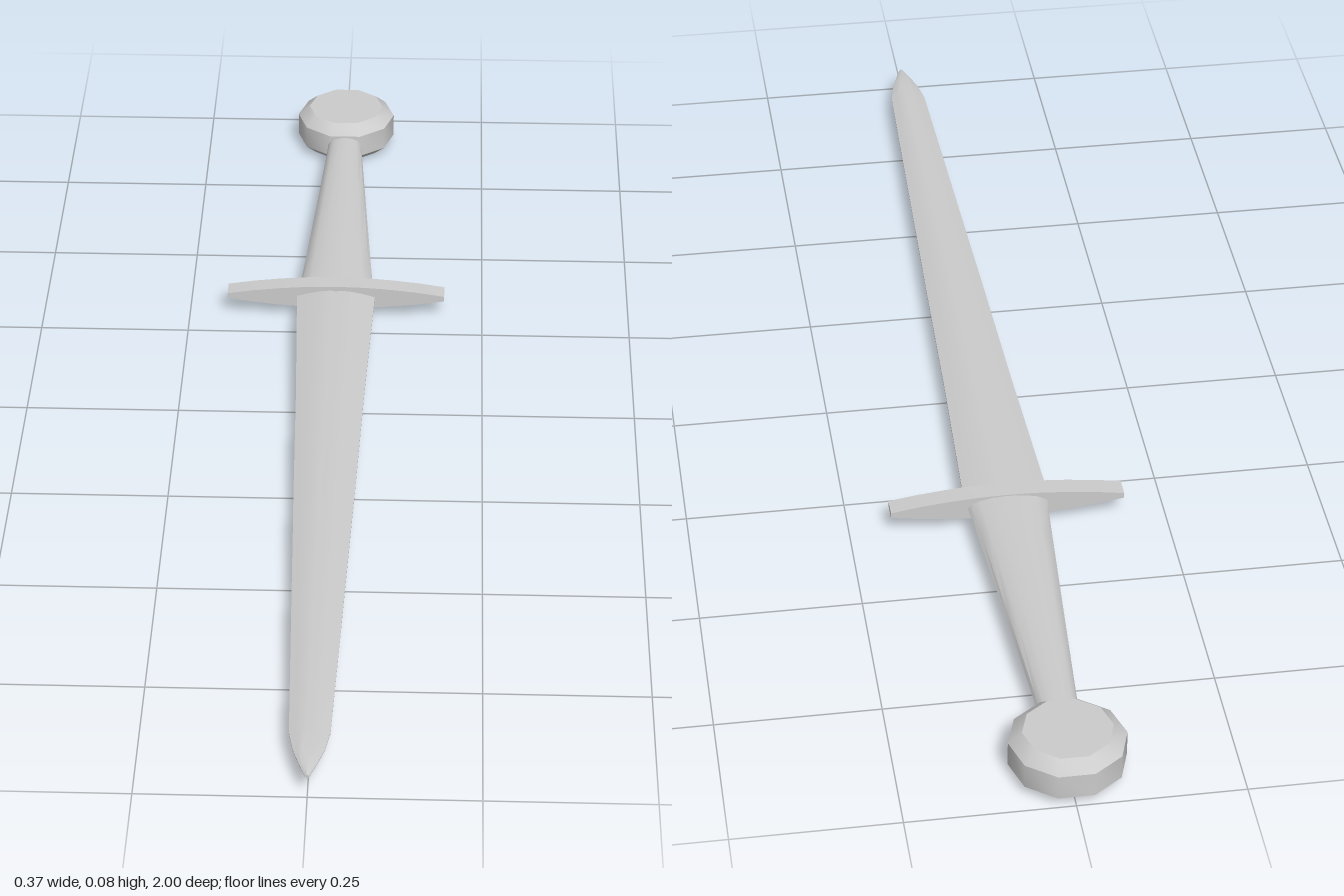
import * as THREE from 'three';
import { toCreasedNormals } from 'three/addons/utils/BufferGeometryUtils.js';

const MID = 0.0375; // height of the flat sword's middle plane

// Skins a closed outline, outline(station) -> [[x, y], ...], along z; both ends are capped
function loft(stations, outline) {
  const pos = [], idx = [];
  const n = outline(stations[0]).length;
  for (const s of stations) for (const [x, y] of outline(s)) pos.push(x, y, s[0]);
  for (let i = 0; i < stations.length - 1; i++) {
    for (let j = 0; j < n; j++) {
      const a = i * n + j, b = i * n + (j + 1) % n;
      idx.push(a, b, b + n, a, b + n, a + n);
    }
  }
  const last = stations.length - 1;
  const c0 = pos.length / 3;
  pos.push(0, 0, stations[0][0], 0, 0, stations[last][0]);
  for (let j = 0; j < n; j++) {
    const k = (j + 1) % n;
    idx.push(c0, k, j, c0 + 1, last * n + j, last * n + k);
  }
  const g = new THREE.BufferGeometry();
  g.setAttribute('position', new THREE.Float32BufferAttribute(pos, 3));
  g.setIndex(idx);
  return toCreasedNormals(g, 0.6);
}

export function createModel() {
  const group = new THREE.Group();
  const material = new THREE.MeshStandardMaterial({ color: 0xcccccc });
  const add = (name, geometry, z = 0) => {
    const mesh = new THREE.Mesh(geometry, material);
    mesh.name = name;
    mesh.position.set(0, MID, z);
    group.add(mesh);
  };

  // Blade: lens section with a shallow central groove; stations are z, half width, half thickness, groove depth
  const blade = [
    [-0.32, 0.067, 0.0135, 0.002], [0, 0.056, 0.0125, 0.002], [0.3, 0.048, 0.0115, 0.0015],
    [0.36, 0.046, 0.011, 0], [0.6, 0.039, 0.0095, 0], [0.9, 0.03, 0.008, 0],
    [0.94, 0.023, 0.0075, 0], [0.975, 0.012, 0.006, 0], [1, 0.003, 0.003, 0],
  ];
  const lens = [[1, 0.12], [0.7, 0.55], [0.4, 0.86], [0.12, 1], [0, 1], [-0.12, 1], [-0.4, 0.86], [-0.7, 0.55], [-1, 0.12]];
  add('blade', loft(blade, ([, w, h, f]) => {
    const top = lens.map(([x, y]) => [x * w, y * h - (x === 0 ? f : 0)]);
    return [...top, ...top.map(([x, y]) => [-x, -y])];
  }));

  // Grip: flattened oval, flaring towards the guard
  const grip = [
    [-0.87, 0.029, 0.017], [-0.8, 0.032, 0.0175], [-0.6, 0.045, 0.018],
    [-0.42, 0.057, 0.019], [-0.36, 0.061, 0.019], [-0.32, 0.066, 0.019],
  ];
  add('grip', loft(grip, ([, w, h]) => Array.from({ length: 16 }, (_, i) => {
    const a = (i / 16) * Math.PI * 2;
    return [w * Math.cos(a), h * Math.sin(a)];
  })));

  // Crossguard: thick in the middle, bowing down to thin blunt ends
  const half = [[0.185, 0.0045], [0.14, 0.0115], [0.095, 0.0165], [0.05, 0.0198], [0, 0.021]];
  const upper = [...half, ...half.slice(0, -1).reverse().map(([x, y]) => [-x, y])];
  const outline = [...upper, ...upper.map(([x, y]) => [-x, -y])];
  const shape = new THREE.Shape(outline.map(([x, y]) => new THREE.Vector2(x, y)));
  const guard = new THREE.ExtrudeGeometry(shape, { depth: 0.032, bevelEnabled: false });
  add('crossguard', toCreasedNormals(guard, 0.5), -0.336);

  // Pommel: ten-sided disc with chamfered rims, its flats facing front and back
  const profile = [[0, -0.0375], [0.067, -0.0375], [0.0875, -0.02], [0.0875, 0.02], [0.067, 0.0375], [0, 0.0375]];
  const pommel = new THREE.LatheGeometry(profile.map(([r, y]) => new THREE.Vector2(r, y)), 10, Math.PI / 2);
  add('pommel', toCreasedNormals(pommel, 0.7), -0.917);

  return group;
}
